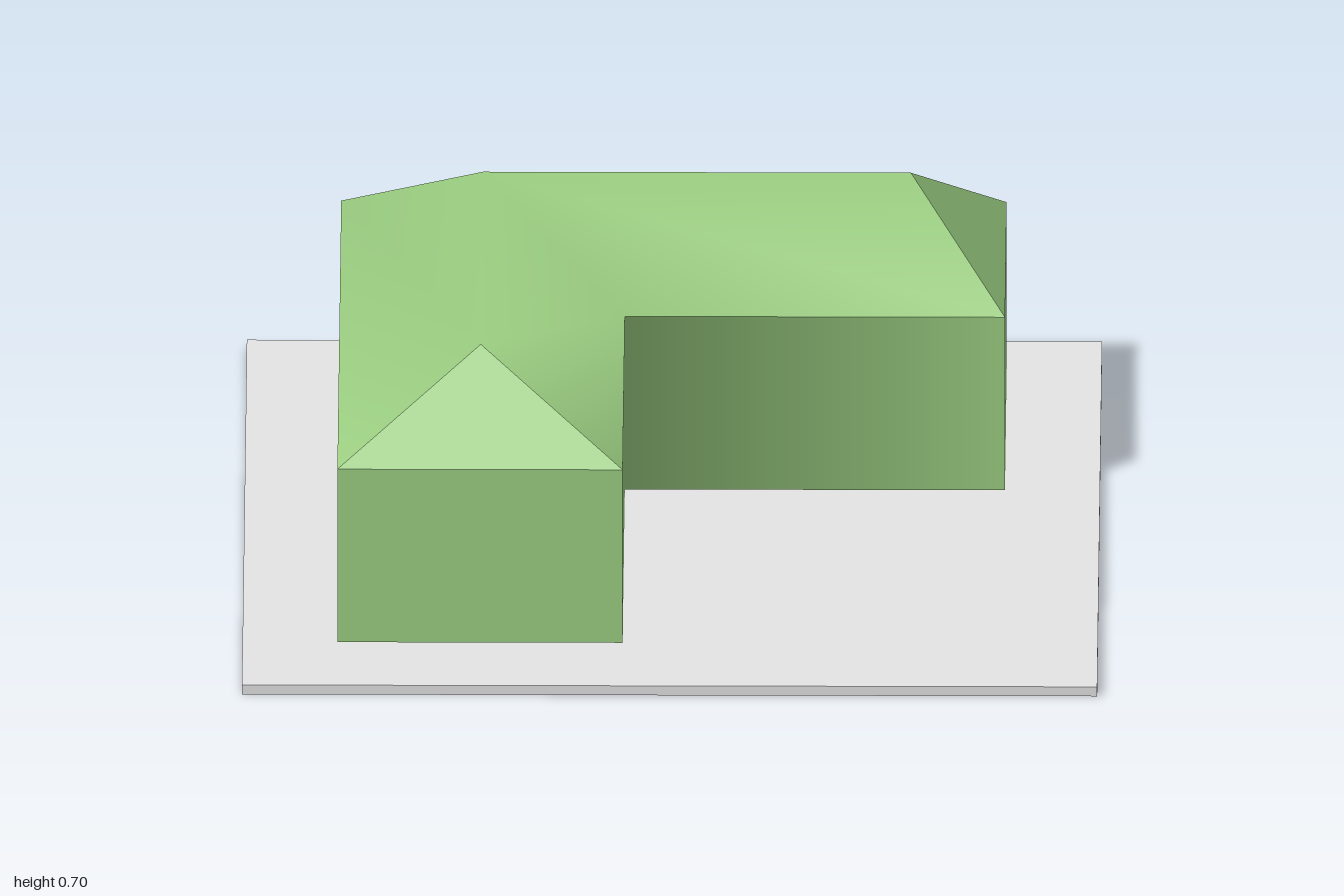
import * as THREE from 'three';

// Smooth normals at shared corners, each face weighted by its corner angle
function angleNormals(points, triangles) {
  const v = points.map((p) => new THREE.Vector3(...p));
  const normals = points.map(() => new THREE.Vector3());
  for (const t of triangles) {
    for (let i = 0; i < 3; i++) {
      const p = v[t[i]];
      const e = v[t[(i + 1) % 3]].clone().sub(p);
      const f = v[t[(i + 2) % 3]].clone().sub(p);
      normals[t[i]].addScaledVector(e.clone().cross(f).normalize(), e.angleTo(f));
    }
  }
  return normals.flatMap((n) => n.normalize().toArray());
}

export function createModel() {
  const group = new THREE.Group();
  const green = new THREE.MeshStandardMaterial({ color: 0x9dd083 });
  green.name = 'house green';
  const grey = new THREE.MeshStandardMaterial({ color: 0xe6e6e6 });
  grey.name = 'plot grey';

  // Surface from corner points and quads or triangles
  function surface(name, points, faces) {
    const triangles = faces.flatMap((f) => f.slice(2).map((c, i) => [f[0], f[i + 1], c]));
    const geometry = new THREE.BufferGeometry();
    geometry.setAttribute('position', new THREE.Float32BufferAttribute(points.flat(), 3));
    geometry.setAttribute('normal', new THREE.Float32BufferAttribute(angleNormals(points, triangles), 3));
    geometry.setIndex(triangles.flat());
    const mesh = new THREE.Mesh(geometry, green);
    mesh.name = name;
    group.add(mesh);
  }

  // Ground plate
  const plate = new THREE.Mesh(new THREE.BoxGeometry(2, 0.024, 2), grey);
  plate.name = 'groundPlate';
  plate.position.y = 0.012;
  group.add(plate);

  // L-shaped plan: outer corner, wing ends, inner corner
  const out = 0.778, inn = 0.111, mid = 0.444, tip = 0.556;
  const low = 0.036, eave = 0.478, ridge = 0.7;
  const outer = [-out, -out], inner = [-inn, -inn];
  const backOuter = [out, -out], backInner = [out, -inn];
  const frontInner = [-inn, out], frontOuter = [-out, out];
  const at = ([x, z], y) => [x, y, z];

  // Walls: each run is a strip, smooth around its own bends
  function walls(name, run) {
    const points = run.flatMap((p) => [at(p, low), at(p, eave)]);
    const faces = [];
    for (let i = 0; i < run.length - 1; i++) faces.push([2 * i, 2 * i + 2, 2 * i + 3, 2 * i + 1]);
    surface(name, points, faces);
  }
  walls('outerWalls', [backOuter, outer, frontOuter]);
  walls('innerWalls', [frontInner, inner, backInner]);
  walls('frontEndWall', [frontOuter, frontInner]);
  walls('sideEndWall', [backInner, backOuter]);

  // Roof slopes meeting along the bent ridge
  const corner = [-mid, ridge, -mid];
  const sideTip = [tip, ridge, -mid];
  const frontTip = [-mid, ridge, tip];
  const eaves = [outer, backOuter, backInner, inner, frontInner, frontOuter].map((p) => at(p, eave));
  surface('roofSlopes', [...eaves, corner, sideTip, frontTip], [
    [1, 0, 6, 7], [0, 5, 8, 6], // outer slopes
    [2, 7, 6, 3], [3, 6, 8, 4], // inner slopes
  ]);

  // Hipped ends
  surface('sideHip', [eaves[2], eaves[1], sideTip], [[0, 1, 2]]);
  surface('frontHip', [eaves[5], eaves[4], frontTip], [[0, 1, 2]]);

  return group;
}
